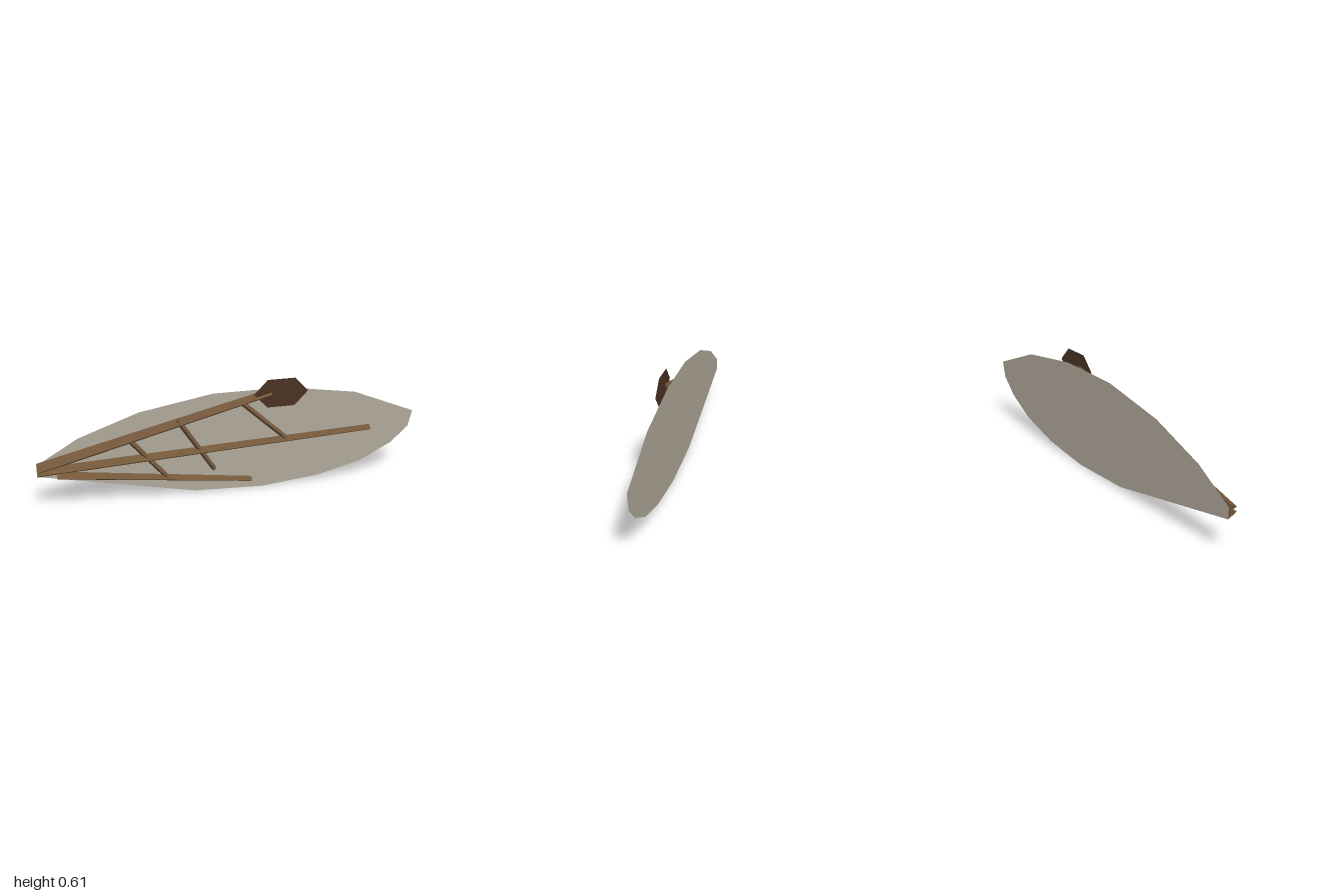
import * as THREE from 'three';

const wood = new THREE.MeshStandardMaterial({ name: 'wood', color: 0x72563a });
const darkWood = new THREE.MeshStandardMaterial({ name: 'darkWood', color: 0x4a3222, side: THREE.DoubleSide });
const cloth = new THREE.MeshStandardMaterial({ name: 'cloth', color: 0xb0a89a, side: THREE.DoubleSide });

// Tapered three-sided beam from a to b, with its ridge facing +z
function beam(name, [ax, ay], [bx, by], rootRadius, tipRadius) {
  const length = Math.hypot(bx - ax, by - ay);
  const geometry = new THREE.CylinderGeometry(tipRadius, rootRadius, length, 3).toNonIndexed();
  geometry.computeVertexNormals();
  const mesh = new THREE.Mesh(geometry, wood);
  mesh.name = name;
  mesh.position.set((ax + bx) / 2, (ay + by) / 2, -0.007);
  mesh.rotation.z = Math.atan2(by - ay, bx - ax) - Math.PI / 2;
  return mesh;
}

export function createModel() {
  const wing = new THREE.Group();
  wing.name = 'wing';

  // Flat membrane behind the frame
  const outline = [
    [-1, 0.19], [-0.2, 0.017], [0.17, 0], [0.475, 0.03], [0.715, 0.09], [0.885, 0.177],
    [0.98, 0.265], [1, 0.353], [0.665, 0.49], [0.28, 0.55], [-0.1, 0.55], [-0.48, 0.485],
    [-0.79, 0.375], [-1, 0.25],
  ].map(([x, y]) => new THREE.Vector2(x, y));
  const membrane = new THREE.Mesh(new THREE.ShapeGeometry(new THREE.Shape(outline)), cloth);
  membrane.name = 'membrane';
  membrane.position.z = -0.027;
  wing.add(membrane);

  // Long spars fanning out from the root
  wing.add(
    beam('upperSpar', [-0.993, 0.235], [0.2, 0.533], 0.034, 0.024),
    beam('middleSpar', [-0.999, 0.215], [0.75, 0.287], 0.029, 0.019),
    beam('lowerSpar', [-0.9, 0.19], [0.1, 0.057], 0.025, 0.017),
  );

  // Short cross struts
  [
    [[-0.53, 0.34], [-0.35, 0.125]],
    [[-0.29, 0.435], [-0.1, 0.14]],
    [[0.05, 0.49], [0.285, 0.275]],
  ].forEach(([a, b], i) => wing.add(beam('strut' + (i + 1), a, b, 0.016, 0.015)));

  // Flattened six-sided plate at the tip of the upper spar
  const plate = new THREE.Mesh(new THREE.CircleGeometry(0.144, 6).scale(1, 0.6, 1), darkWood);
  plate.name = 'tipPlate';
  plate.position.set(0.25, 0.535, 0.005);
  wing.add(plate);

  return wing;
}
